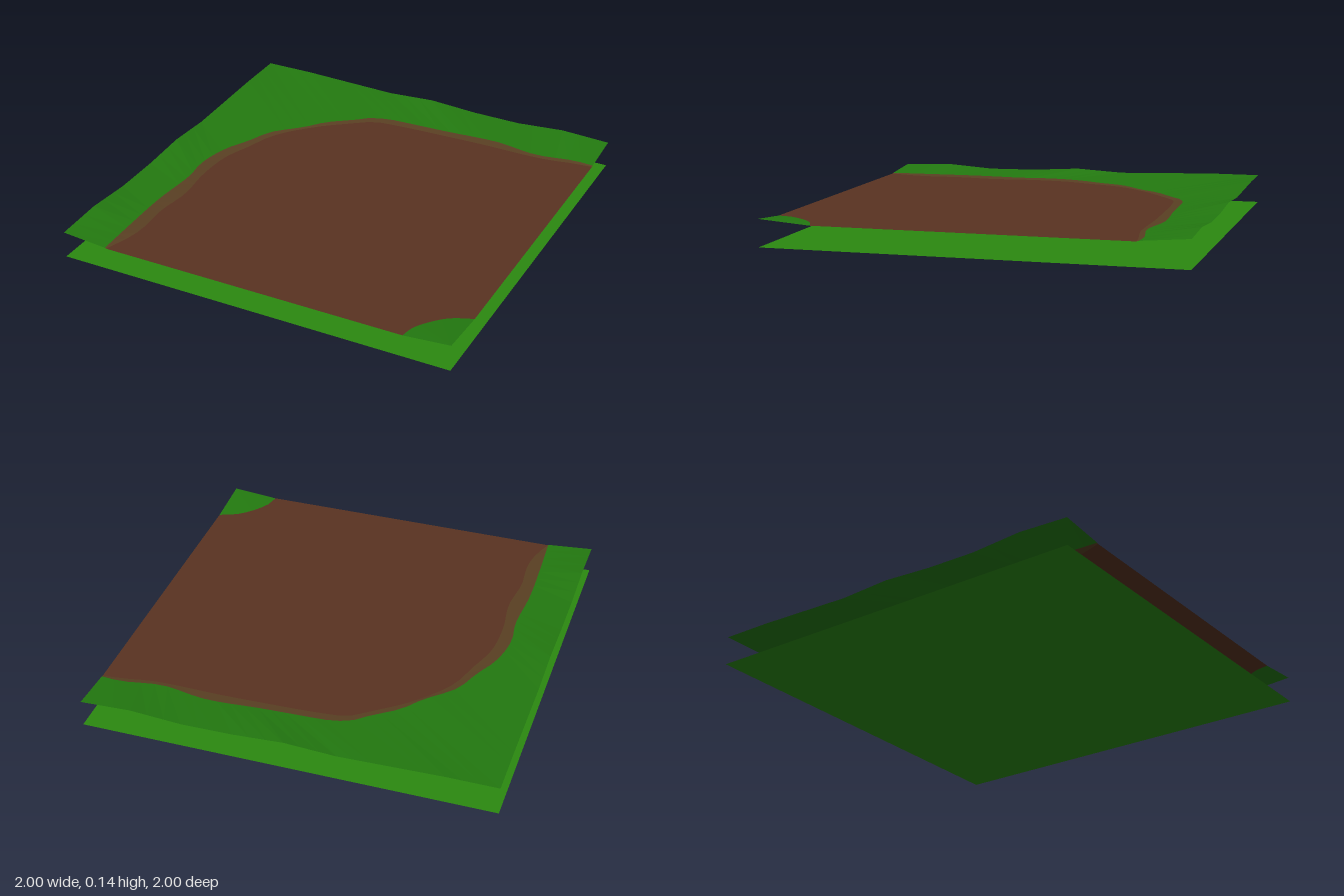
import * as THREE from 'three';

const mat = (name, color, flatShading = true) =>
  new THREE.MeshStandardMaterial({ name, color, side: THREE.DoubleSide, flatShading });

// Surface between two matching rows of points
function loft(rowA, rowB) {
  const pos = [], index = [];
  rowA.forEach((a, i) => {
    const b = rowB[i];
    pos.push(a.x, a.y, a.z, b.x, b.y, b.z);
    if (i > 0) {
      const k = 2 * i;
      index.push(k - 2, k, k - 1, k - 1, k, k + 1);
    }
  });
  const g = new THREE.BufferGeometry();
  g.setAttribute('position', new THREE.Float32BufferAttribute(pos, 3));
  g.setIndex(index);
  g.computeVertexNormals();
  return g;
}

const SEG = 48;
const ROAD_Y = 0.112;
const smoothRow = (pts, y, n) => new THREE.CatmullRomCurve3(
  pts.map(([x, z]) => new THREE.Vector3(x, y, z))).getSpacedPoints(n);

export function createModel() {
  const group = new THREE.Group();
  const grass = mat('grass green', 0x237a10);
  const ground = mat('ground green', 0x2b8a10);
  const dirt = mat('dirt brown', 0x5a3321);
  const verge = mat('verge brown', 0x5a4023);
  const add = (name, geometry, material) => {
    const m = new THREE.Mesh(geometry, material);
    m.name = name;
    group.add(m);
  };

  // Flat base sheet
  add('groundSheet', new THREE.PlaneGeometry(2, 2).rotateX(-Math.PI / 2), ground);

  // Wavy edges of the bend, running from the front left to the back right
  const outer = smoothRow([
    [-0.77, 1], [-0.78, 0.75], [-0.785, 0.5], [-0.77, 0.25], [-0.785, 0.1], [-0.75, -0.08],
    [-0.69, -0.2], [-0.63, -0.34], [-0.5, -0.47], [-0.42, -0.57], [-0.3, -0.66], [-0.23, -0.72],
    [-0.13, -0.75], [0, -0.757], [0.2, -0.765], [0.47, -0.78], [0.7, -0.745], [0.9, -0.775], [1, -0.77],
  ], ROAD_Y + 0.003, SEG);
  const inner = smoothRow([
    [-0.765, 1], [-0.72, 0.86], [-0.71, 0.75], [-0.72, 0.6], [-0.7, 0.4], [-0.72, 0.2], [-0.71, 0],
    [-0.66, -0.15], [-0.6, -0.32], [-0.45, -0.5], [-0.3, -0.62], [-0.2, -0.69], [-0.05, -0.71],
    [0.2, -0.72], [0.4, -0.725], [0.75, -0.725], [0.9, -0.75], [1, -0.76],
  ], ROAD_Y, SEG);

  // Bumpy rim along the left and back sides, the same on both
  const heights = [0.145, 0.145, 0.138, 0.131, 0.145, 0.13, 0.127, 0.145, 0.134];
  const rim = [];
  for (let i = 0; i <= SEG; i++) {
    const s = Math.abs(i / SEG - 0.5) * 2;
    const k = Math.min(7, Math.floor(s * 8));
    const y = THREE.MathUtils.lerp(heights[k], heights[k + 1], s * 8 - k);
    const c = -1 + 2 * s;
    rim.push(i < SEG / 2 ? new THREE.Vector3(-1, y, c) : new THREE.Vector3(c, y, -1));
  }
  add('grassBank', loft(outer, rim), grass);
  add('roadVerge', loft(inner, outer), verge);

  // Raised grass in the inside corner of the bend
  const corner = smoothRow([[0.77, 1], [0.785, 0.93], [0.83, 0.86], [0.9, 0.79], [1, 0.745]], ROAD_Y, 10);
  const tip = corner.map(() => new THREE.Vector3(1, 0.132, 1));
  add('cornerGrass', loft(tip, corner), grass);

  // Dirt road filling the space between the verge and the corner
  const outline = [...inner, ...corner.slice().reverse()].map(p => new THREE.Vector2(p.x, -p.z));
  const road = new THREE.ShapeGeometry(new THREE.Shape(outline));
  road.rotateX(-Math.PI / 2).translate(0, ROAD_Y, 0);
  add('dirtRoad', road, dirt);

  return group;
}
